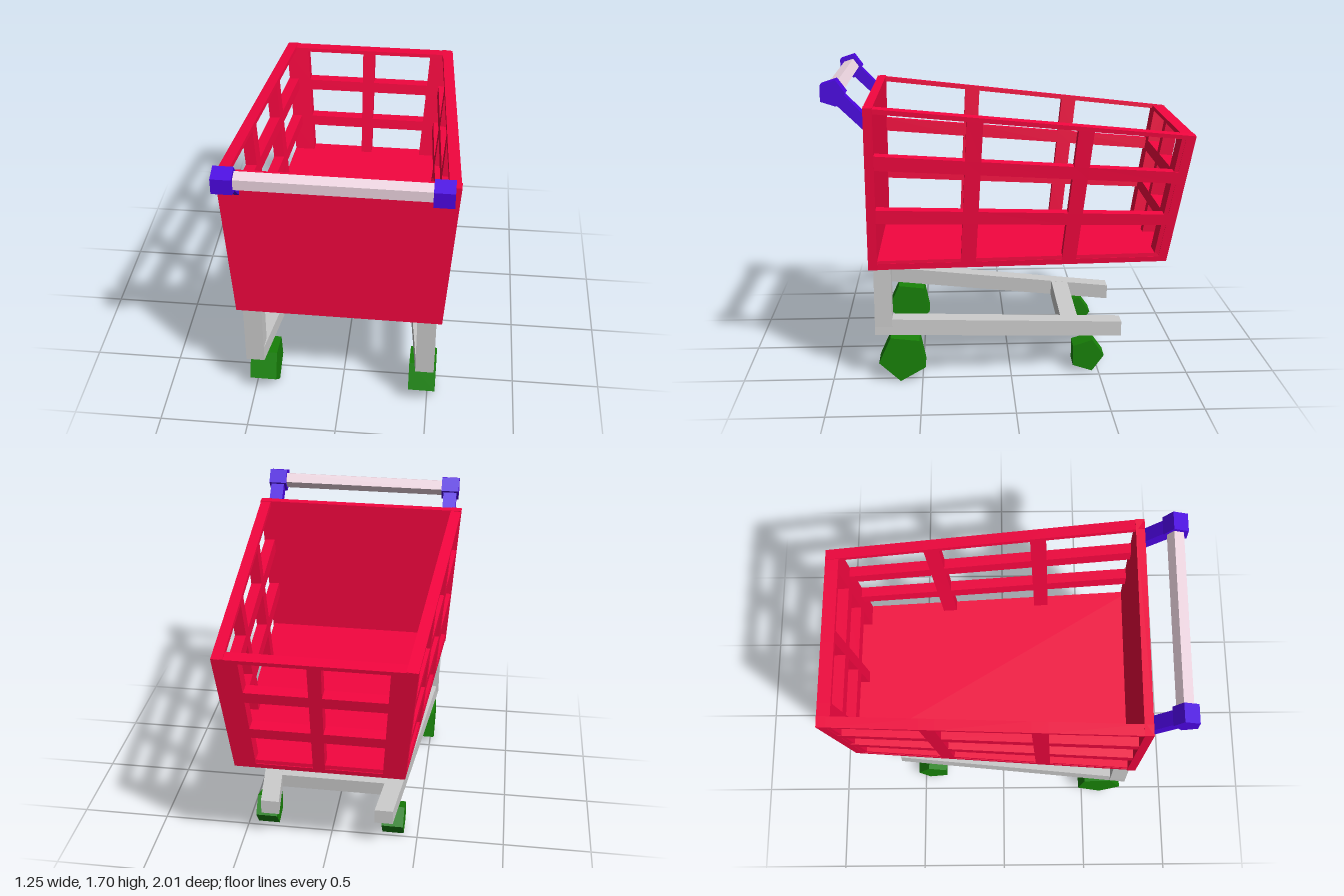
import * as THREE from 'three';

const paint = (color) => new THREE.MeshStandardMaterial({ color, flatShading: true });

// Slab between two four-cornered faces (order: u0v0, u1v0, u0v1, u1v1).
// Grid lines us/vs divide it into cells; cells odd in both directions are open.
function slab(outer, inner, us = [0, 1], vs = [0, 1]) {
  const [o, n] = [outer, inner].map((f) => f.map((p) => new THREE.Vector3(...p)));
  const face = (c, u, v) => c[0].clone().lerp(c[1], u).lerp(c[2].clone().lerp(c[3], u), v);
  const at = (i, j, d) => face(d ? n : o, us[i], vs[j]);
  const solid = (i, j) =>
    i >= 0 && j >= 0 && i < us.length - 1 && j < vs.length - 1 && !(i % 2 && j % 2);
  const du = o[1].clone().sub(o[0]);
  const dv = o[2].clone().sub(o[0]);
  const flip = du.cross(dv).dot(n[0].clone().sub(o[0])) < 0;

  const pos = [];
  const quad = (reverse, ...q) => {
    if (reverse !== flip) q.reverse();
    for (const k of [0, 1, 2, 0, 2, 3]) pos.push(...q[k].toArray());
  };
  for (let i = 0; i < us.length - 1; i++) {
    for (let j = 0; j < vs.length - 1; j++) {
      if (!solid(i, j)) continue;
      for (const d of [0, 1]) {
        quad(d === 1, at(i, j, d), at(i, j + 1, d), at(i + 1, j + 1, d), at(i + 1, j, d));
        if (!solid(i + 2 * d - 1, j)) {
          quad(d === 1, at(i + d, j, 0), at(i + d, j, 1), at(i + d, j + 1, 1), at(i + d, j + 1, 0));
        }
        if (!solid(i, j + 2 * d - 1)) {
          quad(d === 1, at(i, j + d, 0), at(i + 1, j + d, 0), at(i + 1, j + d, 1), at(i, j + d, 1));
        }
      }
    }
  }
  const g = new THREE.BufferGeometry();
  g.setAttribute('position', new THREE.Float32BufferAttribute(pos, 3));
  g.computeVertexNormals();
  return g;
}

// Five-sided prism lying along x
function prism(r, width, turn = Math.PI) {
  return new THREE.CylinderGeometry(r, r, width, 5).rotateZ(Math.PI / 2).rotateX(turn);
}

const shift = (pts, dx, dy, dz) => pts.map(([x, y, z]) => [x + dx, y + dy, z + dz]);

export function createModel() {
  const model = new THREE.Group();
  model.name = 'shoppingCart';
  const red = paint(0xf4053f);
  const grey = paint(0xcccccc);
  const green = paint(0x188208);
  const blue = paint(0x4c04e2);
  const pale = paint(0xeed6e1);

  // The whole cart stands very slightly askew
  const cart = new THREE.Group();
  cart.name = 'cart';
  cart.rotation.y = -0.008;
  cart.position.x = 0.006;
  model.add(cart);

  const add = (name, geometry, material, x = 0, y = 0, z = 0) => {
    const mesh = new THREE.Mesh(geometry, material);
    mesh.name = name;
    mesh.position.set(x, y, z);
    cart.add(mesh);
  };

  // Basket corners on side s: front/back, bottom/top
  const FB = (s) => [s * 0.565, 0.66, 0.78];
  const FT = (s) => [s * 0.625, 1.56, 0.78];
  const BB = (s) => [s * 0.46, 0.66, -0.87];
  const BT = (s) => [s * 0.522, 1.378, -1];
  const rails = [0, 0.038, 0.295, 0.38, 0.627, 0.715, 0.97, 1];
  const sidePosts = [0, 0.024, 0.305, 0.355, 0.642, 0.69, 0.97, 1];
  const backPosts = [0, 0.13, 0.465, 0.535, 0.87, 1];

  const front = [FB(-1), FB(1), FT(-1), FT(1)];
  add('frontPanel', slab(front, shift(front, 0, 0, -0.05)), red);
  const back = [BB(-1), BB(1), BT(-1), BT(1)];
  add('backLattice', slab(back, shift(back, 0, 0.007, 0.075), backPosts, rails), red);
  const base = [FB(-1), FB(1), BB(-1), BB(1)];
  add('floor', slab(base, shift(base, 0, 0.05, 0)), red);

  // Handle bar between the two hubs
  add('handleBar', prism(0.049, 1), pale, 0, 1.634, 0.935);

  for (const s of [-1, 1]) {
    const side = s > 0 ? 'left' : 'right';
    const wall = [FB(s), BB(s), FT(s), BT(s)];
    add(side + 'Lattice', slab(wall, shift(wall, -s * 0.062, 0.004, 0), sidePosts, rails), red);

    // Handle hub and its arm down to the front panel
    add(side + 'HandleHub', prism(0.073, 0.105), blue, s * 0.542, 1.634, 0.94);
    const arm = [[s * 0.503, 1.578, 0.925], [s * 0.503, 1.418, 0.76],
      [s * 0.503, 1.633, 0.885], [s * 0.503, 1.503, 0.76]];
    add(side + 'HandleArm', slab(arm, shift(arm, s * 0.08, 0, 0)), blue);

    // Upright leg and the inward-sloping rail below it
    add(side + 'Leg', new THREE.BoxGeometry(0.104, 0.35, 0.095), grey, s * 0.482, 0.495, 0.7075);
    const rail = [[s * 0.43, 0.273, 0.755], [s * 0.275, 0.19, -0.64],
      [s * 0.43, 0.365, 0.755], [s * 0.275, 0.275, -0.64]];
    add(side + 'BaseRail', slab(rail, shift(rail, s * 0.104, 0, 0)), grey);

    // Wheels, the handle-end pair larger
    add(side + 'FrontWheel', prism(0.137, 0.152, 1.46), green, s * 0.458 + 0.01, 0.137, 0.603);
    add(side + 'BackWheel', prism(0.098, 0.125), green, s * 0.37 + 0.003, 0.094, -0.438);
  }

  // Cross bar joining the base rails, tilted with them
  add('crossBar', new THREE.BoxGeometry(0.66, 0.085, 0.1).rotateX(-0.06), grey, 0, 0.251, -0.34);

  return model;
}
